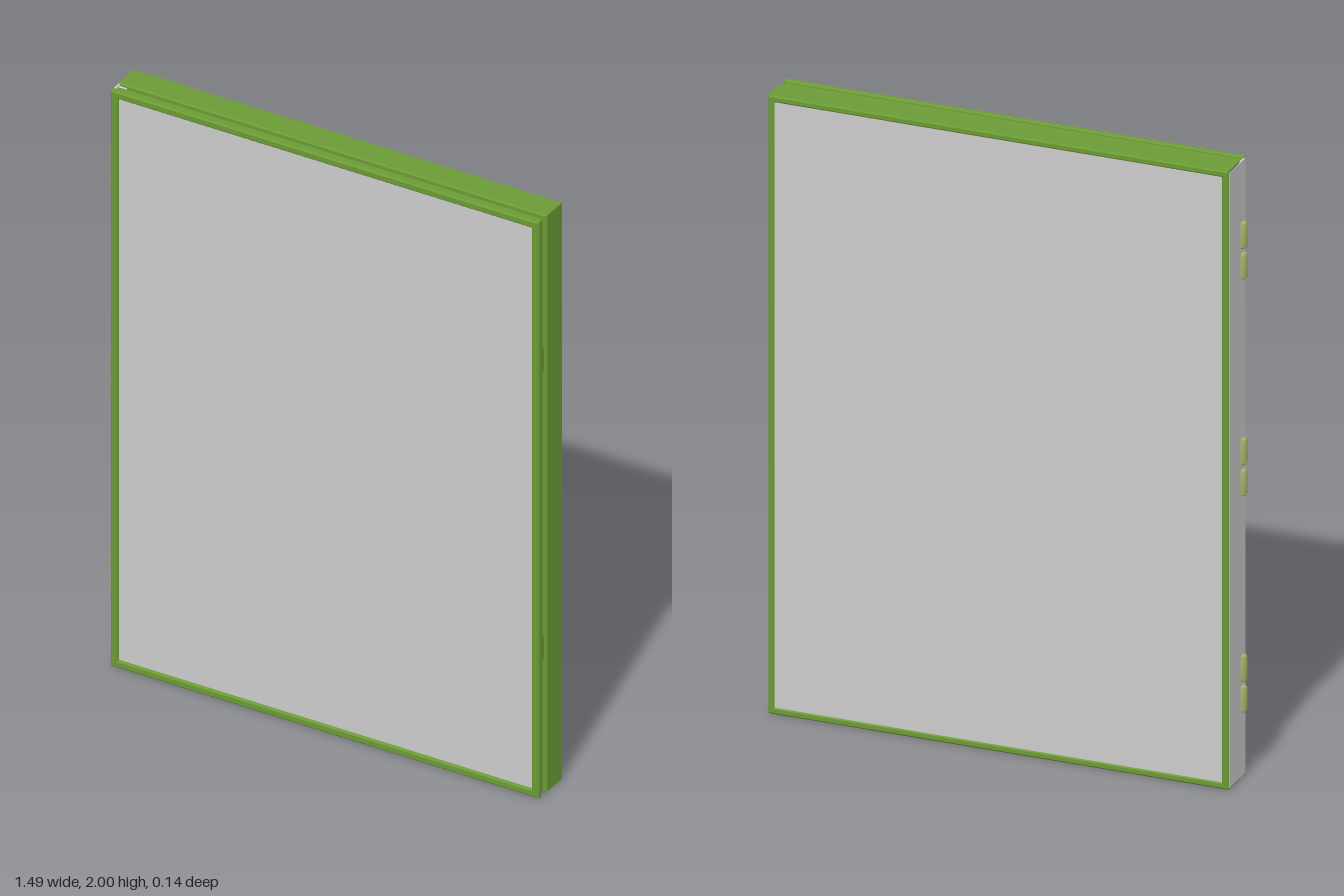
import * as THREE from 'three';

const GREY = new THREE.MeshStandardMaterial({ color: 0xcccccc });
const GREEN = new THREE.MeshStandardMaterial({ color: 0x6b9a35 });
const OLIVE = new THREE.MeshStandardMaterial({ color: 0xa3b068 });
const X0 = -0.73, X1 = 0.745, H = 2;

export function createModel() {
  const model = new THREE.Group();

  const add = (name, geometry, material, x = 0, y = 0, z = 0) => {
    const mesh = new THREE.Mesh(geometry, material);
    mesh.name = name;
    mesh.position.set(x, y, z);
    model.add(mesh);
    return mesh;
  };

  // Box given by its limits on each axis
  const box = (name, material, [xa, xb], [ya, yb], [za, zb]) =>
    add(name, new THREE.BoxGeometry(xb - xa, yb - ya, zb - za), material,
      (xa + xb) / 2, (ya + yb) / 2, (za + zb) / 2);

  // Bevelled rectangular frame, inset from the outline, between two depths
  const frame = (name, inset, border, za, zb, bevel) => {
    const outline = (Type, d) => {
      const p = new Type();
      p.moveTo(X0 + d, d);
      p.lineTo(X1 - d, d);
      p.lineTo(X1 - d, H - d);
      p.lineTo(X0 + d, H - d);
      p.closePath();
      return p;
    };
    const shape = outline(THREE.Shape, inset);
    shape.holes.push(outline(THREE.Path, inset + border));
    const geometry = new THREE.ExtrudeGeometry(shape, {
      depth: zb - za - 2 * bevel, bevelEnabled: true, bevelThickness: bevel,
      bevelSize: bevel, bevelOffset: -bevel, bevelSegments: 1,
    });
    return add(name, geometry, GREEN, 0, 0, za + bevel);
  };

  // Case: deep frame with a back panel
  frame('caseFrame', 0, 0.022, -0.07, 0.022, 0.005);
  box('backPanel', GREY, [X0 + 0.015, X1 - 0.015], [0.015, H - 0.015], [-0.066, -0.058]);

  // Door: inner rail, projecting front lip and panel
  frame('doorRail', 0.008, 0.03, 0.03, 0.055, 0.003);
  frame('doorLip', 0, 0.026, 0.05, 0.07, 0.005);
  box('doorPanel', GREY, [X0 + 0.02, X1 - 0.02], [0.02, H - 0.02], [0.054, 0.062]);

  // Grey facing on the hinge side, and the strip closing the joint
  box('hingeSideFacing', GREY, [X0 - 0.002, X0 + 0.005], [0.006, H - 0.006], [-0.065, 0.06]);
  box('hingeStrip', GREY, [X0, X0 + 0.03], [0.01, H - 0.01], [0.02, 0.032]);

  // Latch blocks in the joint on the opening side
  for (const y of [0.5, 1.5])
    box('latchBlock', GREEN, [X1 - 0.055, X1 - 0.01], [y - 0.04, y + 0.04], [0.02, 0.032]);

  // Hinges: two rounded barrels each
  const barrel = new THREE.LatheGeometry([
    [0, -0.043], [0.011, -0.042], [0.015, -0.036], [0.016, 0],
    [0.015, 0.036], [0.011, 0.042], [0, 0.043],
  ].map(([r, y]) => new THREE.Vector2(r, y)), 20);
  for (const y of [0.305, 1.005, 1.705])
    for (const side of [-1, 1])
      add('hingeBarrel', barrel, OLIVE, X0 - 0.001, y + side * 0.05, 0.037);

  return model;
}
